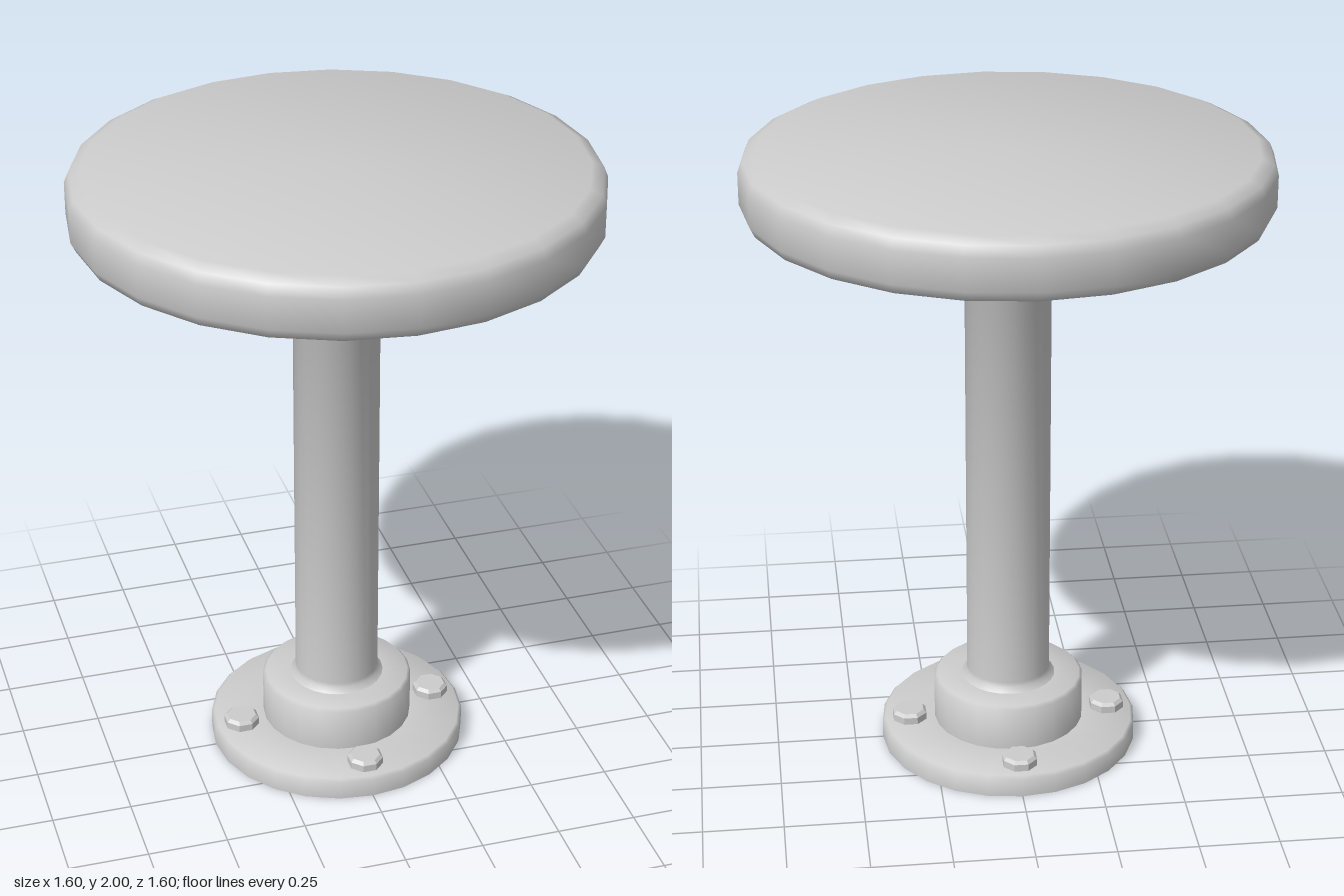
import * as THREE from 'three';
import { toCreasedNormals } from 'three/addons/utils/BufferGeometryUtils.js';

const material = new THREE.MeshStandardMaterial({ color: 0xcccccc, side: THREE.DoubleSide });

// Revolved part from [radius, height] pairs listed bottom to top
function turned(name, profile, sides = 24, crease = 0.6) {
  const points = profile.map(([r, y]) => new THREE.Vector2(r, y));
  const geometry = toCreasedNormals(new THREE.LatheGeometry(points, sides), crease);
  const mesh = new THREE.Mesh(geometry, material);
  mesh.name = name;
  return mesh;
}

export function createModel() {
  const group = new THREE.Group();
  group.name = 'pedestalStool';

  // Round cushion with softened rims
  group.add(turned('seat', [
    [0, 1.81], [0.75, 1.81], [0.785, 1.82], [0.8, 1.85],
    [0.8, 1.95], [0.787, 1.982], [0.75, 2], [0, 2],
  ], 24, 0.9));

  // Shallow dish carrying the cushion
  group.add(turned('seatSupport', [
    [0.13, 1.7], [0.2, 1.7], [0.37, 1.71], [0.39, 1.717], [0.54, 1.812],
  ], 24, 0.9));

  // Post, flaring where it meets the dish
  group.add(turned('post', [
    [0.15, 0.22], [0.135, 0.235], [0.133, 0.25], [0.133, 1.63], [0.145, 1.648], [0.2, 1.705],
  ], 24, 0.9));

  // Hollow floor flange with raised collar, open underneath
  group.add(turned('baseFlange', [
    [0.41, 0], [0.41, 0.06], [0.4, 0.07], [0.24, 0.07],
    [0.24, 0.21], [0.23, 0.22], [0.133, 0.22],
  ], 24, 0.9));

  // Four bolts around the flange
  for (let i = 0; i < 4; i++) {
    const angle = (i * Math.PI) / 2;
    const bolt = turned('bolt', [
      [0.057, 0.06], [0.057, 0.093], [0.047, 0.103], [0, 0.103],
    ], 8, 0.5);
    bolt.position.set(0.322 * Math.cos(angle), 0, 0.322 * Math.sin(angle));
    bolt.rotation.y = Math.PI / 8;
    group.add(bolt);
  }
  return group;
}
